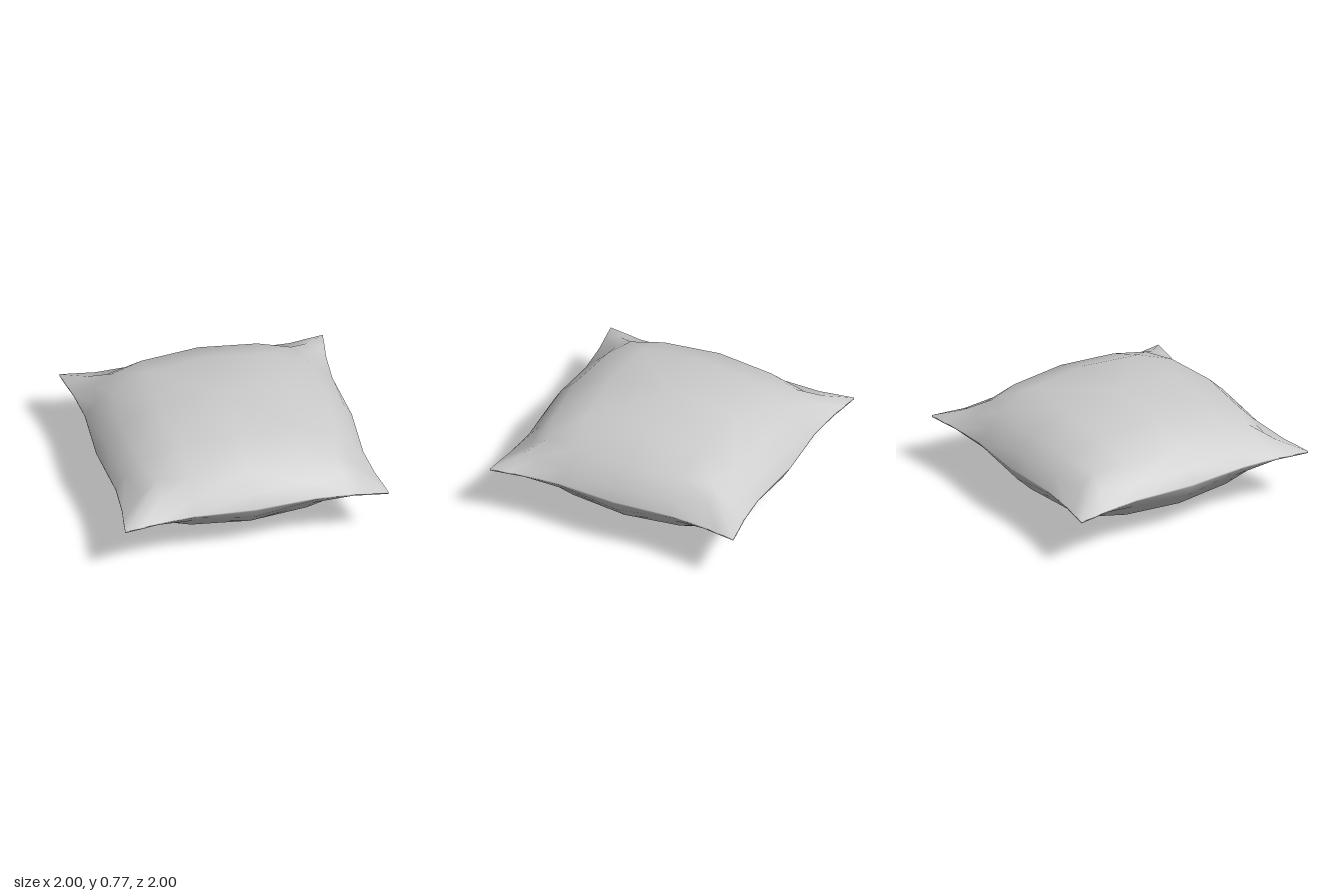
import * as THREE from 'three';

// One quarter of the cushion, rows run outward from the centre (index 0) to the seam (index 4).
// OUT[i][j]: distance from the centre line i steps out, j steps along.
const OUT = [
  [0, 0, 0, 0, 0],
  [0.5, 0.47, 0.44, 0.45, 0.47],
  [0.79, 0.75, 0.68, 0.7, 0.74],
  [0.91, 0.86, 0.81, 0.83, 0.86],
  [0.97, 0.94, 0.96, 0.98, 1],
];
// RISE[i][j]: height of the stuffing above the seam plane.
const RISE = [
  [0.385, 0.345, 0.225, 0.105, 0.007],
  [0.345, 0.315, 0.21, 0.092, 0.007],
  [0.225, 0.21, 0.185, 0.085, 0.007],
  [0.105, 0.092, 0.085, 0.08, 0.007],
  [0.007, 0.007, 0.007, 0.007, 0.007],
];
const MID = 0.385;
const N = 9;

function cushionGeometry() {
  const positions = [];
  const index = [];
  const id = (layer, i, j) => layer * N * N + j * N + i;

  // Upper and lower skins, mirrored from the quarter
  for (const side of [1, -1]) {
    for (let j = -4; j <= 4; j++) {
      for (let i = -4; i <= 4; i++) {
        const a = Math.abs(i), b = Math.abs(j);
        positions.push(Math.sign(i) * OUT[a][b], MID + side * RISE[a][b], Math.sign(j) * OUT[b][a]);
      }
    }
  }
  const quad = (a, b, c, d, flip) => {
    if (flip) index.push(a, c, b, a, d, c);
    else index.push(a, b, c, a, c, d);
  };
  for (let layer = 0; layer < 2; layer++) {
    for (let j = 0; j < N - 1; j++) {
      for (let i = 0; i < N - 1; i++) {
        const p = [id(layer, i, j), id(layer, i, j + 1), id(layer, i + 1, j + 1), id(layer, i + 1, j)];
        // Diagonals run from the centre towards the four corners
        const s = (i < 4) === (j < 4) ? 0 : 1;
        quad(p[s], p[s + 1], p[(s + 2) % 4], p[(s + 3) % 4], layer === 1);
      }
    }
  }

  // Thin seam joining the two skins
  const rim = [];
  for (let k = 0; k < 8; k++) rim.push([k, 8]);
  for (let k = 8; k > 0; k--) rim.push([8, k]);
  for (let k = 8; k > 0; k--) rim.push([k, 0]);
  for (let k = 0; k < 8; k++) rim.push([0, k]);
  rim.forEach(([i, j], k) => {
    const [m, n] = rim[(k + 1) % rim.length];
    quad(id(0, i, j), id(1, i, j), id(1, m, n), id(0, m, n), false);
  });

  const geometry = new THREE.BufferGeometry();
  geometry.setAttribute('position', new THREE.Float32BufferAttribute(positions, 3));
  geometry.setIndex(index);
  geometry.computeVertexNormals();
  return geometry;
}

export function createModel() {
  const group = new THREE.Group();
  group.name = 'pillow';
  const cushion = new THREE.Mesh(cushionGeometry(), new THREE.MeshStandardMaterial({ color: 0xcccccc }));
  cushion.name = 'cushion';
  group.add(cushion);
  return group;
}
